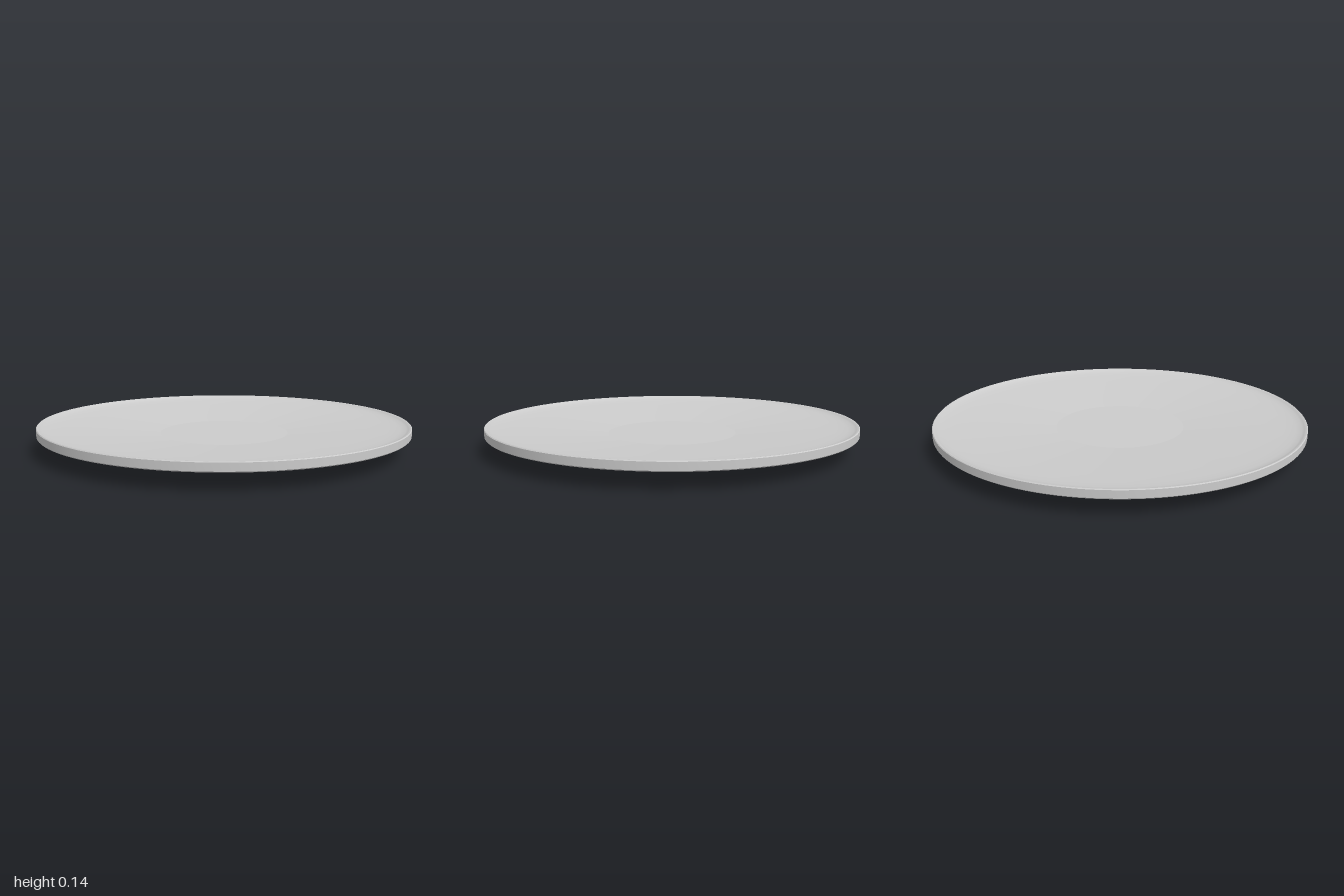
import * as THREE from 'three';
import { toCreasedNormals } from 'three/addons/utils/BufferGeometryUtils.js';

const SEGMENTS = 128;

// Turned part from [radius, height] pairs, listed from the underside outwards and up
function turned(name, points, material) {
  const profile = points.map(([r, y]) => new THREE.Vector2(r, y));
  const geometry = toCreasedNormals(new THREE.LatheGeometry(profile, SEGMENTS), 0.6);
  const mesh = new THREE.Mesh(geometry, material);
  mesh.name = name;
  return mesh;
}

export function createModel() {
  const group = new THREE.Group();
  group.name = 'plate';
  const material = new THREE.MeshStandardMaterial({ color: 0xcccccc, side: THREE.DoubleSide });

  // Round foot with a slightly eased lower edge
  group.add(turned('foot', [[0, 0], [0.56, 0], [0.665, 0.004], [0.675, 0.012], [0.675, 0.054]], material));

  // Sloping underside and upright outer edge
  group.add(turned('undersideAndRim', [[0.6, 0.046], [0.675, 0.053], [0.995, 0.088], [1, 0.093], [1, 0.131], [0.996, 0.135]], material));

  // Shallow curved dish, steepening to a soft lip
  group.add(turned('dish', [
    [0.996, 0.135], [0.99, 0.134], [0.982, 0.129], [0.97, 0.124], [0.94, 0.118],
    [0.88, 0.111], [0.78, 0.102], [0.64, 0.09], [0.5, 0.078], [0.35, 0.066],
  ], material));

  // Flat centre
  const well = new THREE.Mesh(new THREE.CircleGeometry(0.35, SEGMENTS), material);
  well.name = 'centre';
  well.rotation.x = -Math.PI / 2;
  well.position.y = 0.066;
  group.add(well);

  return group;
}
